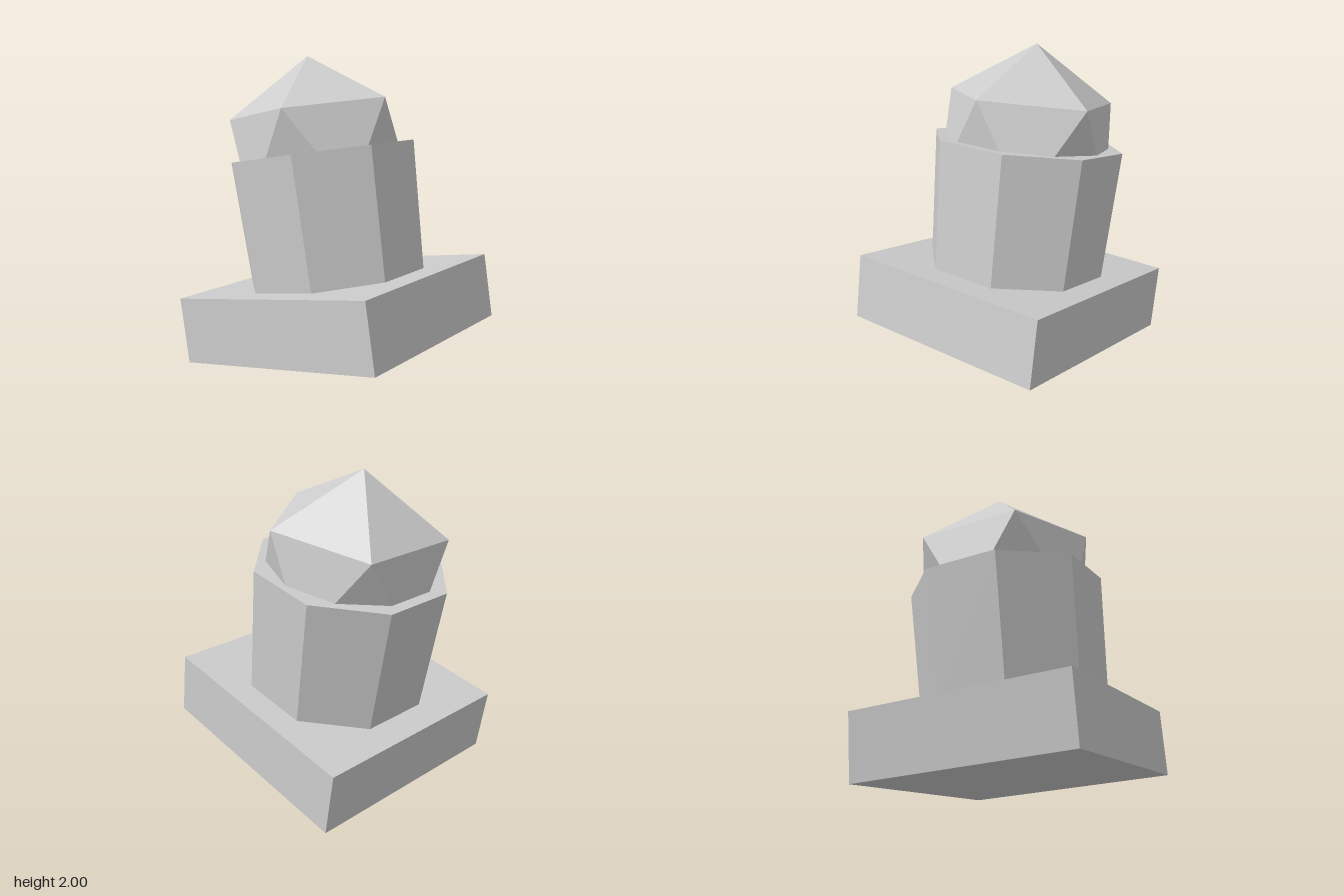
import * as THREE from 'three';

export function createModel() {
  const model = new THREE.Group();
  model.name = 'tiltedDomedPillar';

  const stone = new THREE.MeshStandardMaterial({ color: 0xcccccc, flatShading: true });
  stone.name = 'grey stone';

  const add = (name, geometry, y) => {
    const mesh = new THREE.Mesh(geometry, stone);
    mesh.name = name;
    mesh.position.y = y;
    model.add(mesh);
  };

  const baseHeight = 0.43;
  const radius = 0.635;
  const pillarBottom = baseHeight / 2;
  const pillarTop = 1.057;

  // Square plinth
  add('base', new THREE.BoxGeometry(1.497, baseHeight, 1.445), 0);

  // Eight-sided pillar, widening upwards, with flat sides facing left and right
  const pillar = new THREE.CylinderGeometry(radius, 0.598, pillarTop - pillarBottom, 8);
  pillar.rotateY(Math.PI / 8);
  add('pillar', pillar, (pillarTop + pillarBottom) / 2);

  // Faceted dome: an icosahedron standing on one vertex, half sunk in the pillar
  const dome = new THREE.IcosahedronGeometry(radius, 0);
  dome.rotateZ(-Math.atan(2 / (1 + Math.sqrt(5))));
  add('dome', dome, pillarTop);

  // The whole piece leans to one side on the lower edge of its plinth
  model.rotation.z = THREE.MathUtils.degToRad(9.1);
  model.position.y = 0.33;

  const root = new THREE.Group();
  root.name = 'model';
  root.add(model);
  return root;
}
